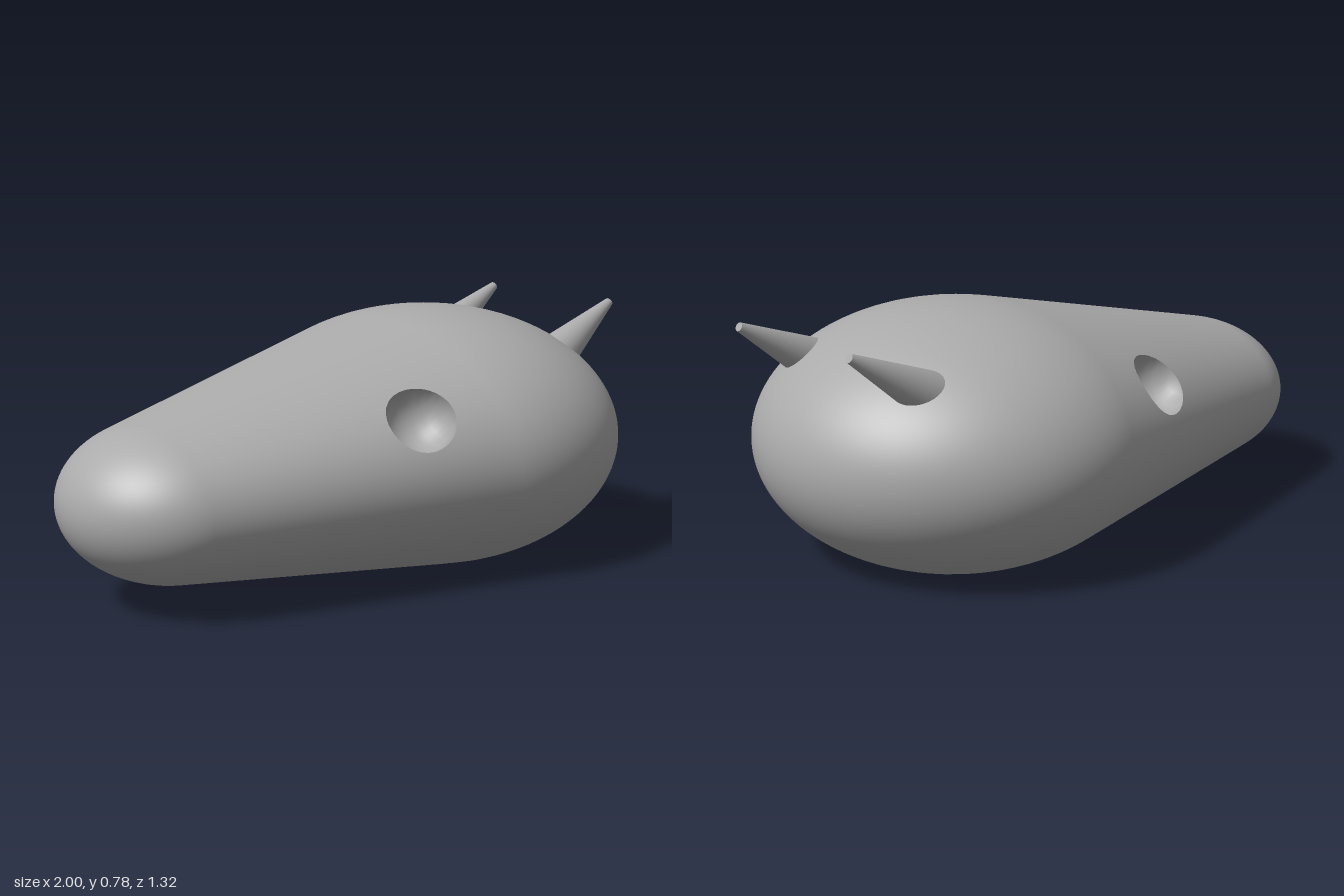
import * as THREE from 'three';

const V = (x, y, z) => new THREE.Vector3(x, y, z);

// The two ellipsoids whose hull forms the head
const CRANIUM = { c: V(0.32, 0.365, -0.03), r: V(0.63, 0.415, 0.63) };
const SNOUT = { c: V(-0.66, 0.315, 0.32), r: V(0.34, 0.245, 0.34) };
const SOCKET_R = 0.11;

// Farthest point of an ellipsoid along a normal
function support(e, n) {
  const s = n.clone().multiply(e.r);
  return s.clone().multiply(e.r).divideScalar(s.length()).add(e.c);
}

// Smooth hull as a grid of rows from the nose to the back of the head
function hullRows() {
  const axis = SNOUT.c.clone().sub(CRANIUM.c).normalize();
  const u = V(0, 1, 0).cross(axis).normalize();
  const w = axis.clone().cross(u);
  const SEG = 128, END = 26, MID = 40, BACK = 40;
  const columns = [];
  for (let j = 0; j <= SEG; j++) {
    const phi = ((j % SEG) / SEG) * Math.PI * 2;
    const side = u.clone().multiplyScalar(Math.cos(phi)).addScaledVector(w, Math.sin(phi));
    const normal = t => axis.clone().multiplyScalar(Math.cos(t)).addScaledVector(side, Math.sin(t));
    // angle at which both ellipsoids share a tangent plane
    let lo = 0, hi = Math.PI;
    for (let k = 0; k < 40; k++) {
      const t = (lo + hi) / 2, n = normal(t);
      if (support(SNOUT, n).dot(n) > support(CRANIUM, n).dot(n)) lo = t; else hi = t;
    }
    const n0 = normal(lo), a = support(SNOUT, n0), b = support(CRANIUM, n0);
    const col = [];
    for (let i = 0; i < END; i++) {
      const n = normal(lo * i / END);
      col.push({ p: support(SNOUT, n), n });
    }
    for (let i = 0; i < MID; i++) col.push({ p: a.clone().lerp(b, i / MID), n: n0 });
    for (let i = 0; i <= BACK; i++) {
      const n = normal(lo + (Math.PI - lo) * i / BACK);
      col.push({ p: support(CRANIUM, n), n });
    }
    columns.push(col);
  }
  return columns;
}

// Splits a polygon into the parts where f >= 0 and f < 0
function split(poly, f) {
  const out = [], inn = [];
  const d = poly.map(v => f(v.p));
  poly.forEach((v, i) => {
    const k = (i + 1) % poly.length, q = poly[k];
    (d[i] >= 0 ? out : inn).push(v);
    if ((d[i] >= 0) !== (d[k] >= 0)) {
      const t = d[i] / (d[i] - d[k]);
      const m = { p: v.p.clone().lerp(q.p, t), n: v.n.clone().lerp(q.n, t).normalize() };
      out.push(m);
      inn.push({ ...m, rim: true });
    }
  });
  return [out, inn];
}

function toGeometry(polys) {
  const pos = [], nor = [];
  for (const poly of polys) {
    for (let i = 1; i + 1 < poly.length; i++) {
      for (const v of [poly[0], poly[i], poly[i + 1]]) {
        pos.push(v.p.x, v.p.y, v.p.z);
        nor.push(v.n.x, v.n.y, v.n.z);
      }
    }
  }
  const g = new THREE.BufferGeometry();
  g.setAttribute('position', new THREE.Float32BufferAttribute(pos, 3));
  g.setAttribute('normal', new THREE.Float32BufferAttribute(nor, 3));
  return g;
}

// Places a socket centre on the skin near a given point
function socketAt(guess, columns) {
  let best = null, dist = Infinity;
  for (const v of columns.flat()) {
    const d = v.p.distanceTo(guess);
    if (d < dist) { dist = d; best = v; }
  }
  const h = guess.clone().sub(best.p).dot(best.n);
  return { c: guess.clone().addScaledVector(best.n, -h), n: best.n };
}

// Pushes a skin vertex down into the round bowl of its socket
function sink(v, s) {
  const d = v.p.clone().sub(s.c);
  const t = d.clone().addScaledVector(s.n, -d.dot(s.n));
  const depth = Math.sqrt(Math.max(0, SOCKET_R ** 2 - t.lengthSq()));
  const p = v.rim ? v.p : s.c.clone().add(t).addScaledVector(s.n, -depth);
  return { p, n: s.c.clone().sub(p).normalize() };
}

function makeHorn(base, tip, material) {
  const dir = tip.clone().sub(base).normalize();
  const root = base.clone().addScaledVector(dir, -0.04);
  const horn = new THREE.Mesh(
    new THREE.CylinderGeometry(0.014, 0.073, root.distanceTo(tip), 32), material);
  horn.position.copy(root).lerp(tip, 0.5);
  horn.quaternion.setFromUnitVectors(V(0, 1, 0), dir);
  return horn;
}

export function createModel() {
  const group = new THREE.Group();
  const grey = new THREE.MeshStandardMaterial({ color: 0xaaaaaa });
  grey.name = 'plain grey';

  const add = (name, mesh) => { mesh.name = name; group.add(mesh); };

  const columns = hullRows();
  const sockets = [V(0.048, 0.527, 0.52), V(-0.255, 0.527, -0.305)].map(g => socketAt(g, columns));
  const skin = [], base = [], bowls = [[], []];

  // Cut every skin triangle by the ground plane and both sockets
  const addTriangle = tri => {
    let [keep, below] = split(tri, p => p.y);
    if (below.length) base.push(below.map(v => ({ p: V(v.p.x, 0, v.p.z), n: V(0, -1, 0) })));
    sockets.forEach((s, i) => {
      const [out, inn] = split(keep, p => p.distanceTo(s.c) - SOCKET_R);
      if (inn.length) bowls[i].push(inn.map(v => sink(v, s)));
      keep = out;
    });
    if (keep.length) skin.push(keep);
  };
  for (let j = 0; j + 1 < columns.length; j++) {
    const a = columns[j], b = columns[j + 1];
    for (let i = 0; i + 1 < a.length; i++) {
      if (i + 2 < a.length) addTriangle([a[i], a[i + 1], b[i + 1]]);
      if (i > 0) addTriangle([a[i], b[i + 1], b[i]]);
    }
  }

  add('head', new THREE.Mesh(toGeometry(skin), grey));
  add('flatBase', new THREE.Mesh(toGeometry(base), grey));
  add('frontEyeSocket', new THREE.Mesh(toGeometry(bowls[0]), grey));
  add('backEyeSocket', new THREE.Mesh(toGeometry(bowls[1]), grey));

  // Horns leaning backward from the crown
  add('frontHorn', makeHorn(V(0.755, 0.62, 0.08), V(0.988, 0.757, -0.008), grey));
  add('backHorn', makeHorn(V(0.575, 0.62, -0.42), V(0.806, 0.757, -0.497), grey));

  return group;
}
